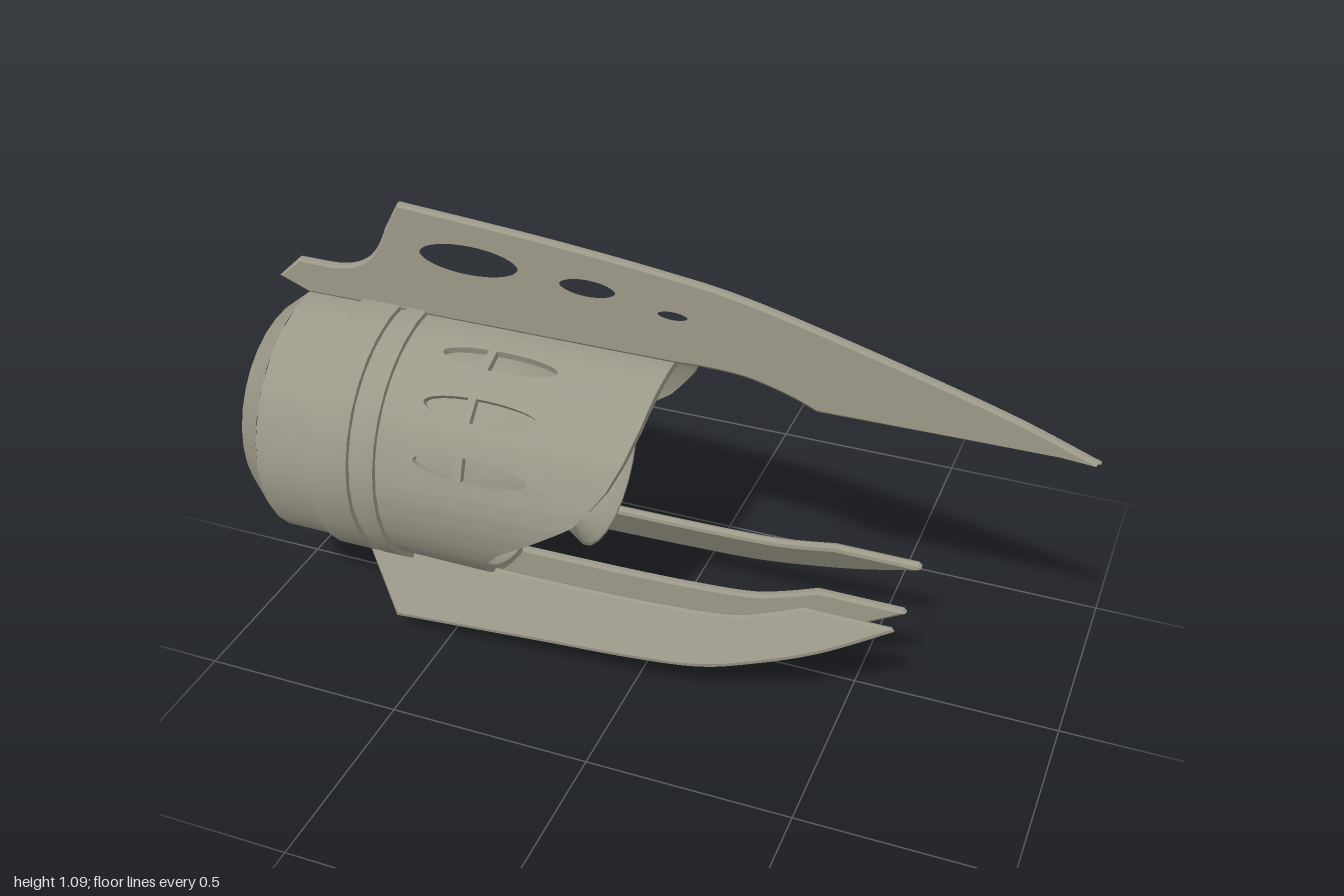
import * as THREE from 'three';
import { mergeGeometries, toCreasedNormals } from 'three/addons/utils/BufferGeometryUtils.js';

const AXIS_Y = 0.49;
const DEG = Math.PI / 180;
const metal = new THREE.MeshStandardMaterial({ color: 0x9c9888 });
metal.name = 'warm grey metal';

const vecs = (pts) => pts.map(([x, y]) => new THREE.Vector2(x, y));

function part(name, geometry) {
  const mesh = new THREE.Mesh(geometry, metal);
  mesh.name = name;
  return mesh;
}

// Turned part lying along x; the profile is [x, radius]
function turned(name, profile, segments = 32) {
  const geo = new THREE.LatheGeometry(vecs(profile.map(([x, r]) => [r, x])), segments);
  geo.rotateZ(-Math.PI / 2);
  const mesh = part(name, toCreasedNormals(geo, 0.6));
  mesh.position.y = AXIS_Y;
  return mesh;
}

// Flat plate with a small bevel, centred on z = 0
function plate(name, shape) {
  const geo = new THREE.ExtrudeGeometry(shape, {
    depth: 0.012, bevelEnabled: true, bevelThickness: 0.006, bevelSize: 0.007,
    bevelOffset: -0.007, bevelSegments: 1, curveSegments: 16,
  });
  geo.translate(0, 0, -0.006);
  return part(name, toCreasedNormals(geo, 0.5));
}

// Slanted S-shaped end of the casing: x for a given height
const END = [[0.17, -0.38], [0.22, -0.38], [0.27, -0.37], [0.32, -0.35], [0.38, -0.30], [0.45, -0.2],
  [0.52, -0.1], [0.57, -0.06], [0.62, -0.025], [0.68, 0.002], [0.74, 0.02], [0.82, 0.03]];
function endX(angle) {
  const y = AXIS_Y + 0.318 * Math.cos(angle);
  let i = 1;
  while (i < END.length - 1 && END[i][0] < y) i++;
  const [y0, x0] = END[i - 1], [y1, x1] = END[i];
  return THREE.MathUtils.lerp(x0, x1, THREE.MathUtils.clamp((y - y0) / (y1 - y0), 0, 1));
}

// Half of an oval window, from the middle bar to the tip
function halfWindow(bar, tip, angle) {
  const upper = [], lower = [], n = 10;
  for (let i = 0; i <= n; i++) {
    const x = bar + (tip - bar) * Math.sin((i / n) * Math.PI / 2);
    const h = 0.092 * Math.sqrt(Math.max(0, 1 - ((x + 0.36) / 0.145) ** 2));
    upper.push([x, angle + h]);
    if (i < n) lower.unshift([x, angle - h]);
  }
  return new THREE.Path(vecs([...upper, ...lower]));
}

// Casing: unrolled strips with windows, bent round the axis
function casing() {
  const half = [0, 6.5, 13.5, 28.5, 37.5, 52.5, 62.5, 77.5, 90,
    101.25, 112.5, 123.75, 135, 146.25, 157.5, 168.75, 180];
  const edges = [...half.slice(1).reverse().map((a) => -a), ...half];
  const windows = [21, 45, 70];
  const strips = [];
  for (let i = 0; i < edges.length - 1; i++) {
    const a0 = edges[i] * DEG, a1 = edges[i + 1] * DEG;
    const outline = [[-0.92, a0]];
    for (let k = 0; k <= 4; k++) {
      const a = a0 + (a1 - a0) * k / 4;
      outline.push([endX(a), a]);
    }
    outline.push([-0.92, a1]);
    const shape = new THREE.Shape(vecs(outline));
    const mid = (edges[i] + edges[i + 1]) / 2;
    if (windows.some((w) => Math.abs(w - Math.abs(mid)) < 2)) {
      shape.holes.push(halfWindow(-0.40, -0.505, mid * DEG), halfWindow(-0.38, -0.215, mid * DEG));
    }
    strips.push(new THREE.ExtrudeGeometry(shape, { depth: 0.018, bevelEnabled: false }));
  }
  const geo = mergeGeometries(strips);
  const pos = geo.attributes.position;
  for (let i = 0; i < pos.count; i++) {
    const a = pos.getY(i), r = 0.302 + pos.getZ(i);
    pos.setXYZ(i, pos.getX(i), AXIS_Y + r * Math.cos(a), -r * Math.sin(a));
  }
  return part('casing', toCreasedNormals(geo, 0.6));
}

// Tall top fin with three oval holes
function topFin() {
  const s = new THREE.Shape();
  s.moveTo(-1, 0.84);
  s.lineTo(-0.94, 0.897);
  s.lineTo(-0.86, 0.897);
  s.bezierCurveTo(-0.76, 0.897, -0.72, 0.95, -0.695, 1.02);
  s.lineTo(-0.657, 1.09);
  s.splineThru(vecs([[-0.3, 1.064], [0, 1.033], [0.2, 1.002], [0.5, 0.925], [0.8, 0.838], [1, 0.765]]));
  s.lineTo(0.37, 0.755);
  s.splineThru(vecs([[0.3, 0.783], [0.2, 0.808], [0.1, 0.813], [0.03, 0.81]]));
  s.lineTo(-0.92, 0.808);
  for (const [x, y, rx, ry] of [[-0.48, 0.978, 0.133, 0.044], [-0.182, 0.963, 0.076, 0.028], [0.025, 0.933, 0.044, 0.017]]) {
    const hole = new THREE.Path();
    hole.absellipse(x, y, rx, ry, 0, Math.PI * 2, true);
    s.holes.push(hole);
  }
  return plate('topFin', s);
}

// Curved lower prong; heights are measured from the engine axis
function lowerProng(name, degrees) {
  const s = new THREE.Shape();
  s.moveTo(-0.735, -0.315);
  s.lineTo(-0.62, -0.485);
  s.splineThru(vecs([[-0.25, -0.462], [0, -0.447], [0.17, -0.428], [0.3, -0.39], [0.45, -0.33], [0.612, -0.24]]));
  s.lineTo(0.605, -0.232);
  s.lineTo(0.395, -0.232);
  s.splineThru(vecs([[0.31, -0.265], [0.23, -0.288], [0.1, -0.3], [-0.1, -0.308], [-0.4, -0.312]]));
  const mesh = plate(name, s);
  mesh.position.y = AXIS_Y;
  mesh.rotation.x = degrees * DEG;
  return mesh;
}

export function createModel() {
  const model = new THREE.Group();
  model.name = 'engine';

  model.add(casing());

  // Chamfered intake with a recessed bowl
  model.add(turned('intake', [[-0.78, 0], [-0.79, 0.07], [-0.82, 0.125], [-0.88, 0.155], [-1, 0.165],
    [-1, 0.255], [-0.92, 0.32]]));

  // Raised bands
  for (const [name, a, b] of [['wideBand', -0.77, -0.67], ['narrowBand', -0.65, -0.6]]) {
    model.add(turned(name, [[a, 0.31], [a, 0.333], [b, 0.333], [b, 0.31]]));
  }

  // Flared exhaust nozzle with a hollow throat
  model.add(turned('nozzle', [[-0.5, 0.305], [-0.56, 0.25], [-0.45, 0.25], [-0.37, 0.238], [-0.28, 0.208],
    [-0.2, 0.176], [-0.15, 0.205], [-0.15, 0.198], [-0.19, 0.165], [-0.25, 0.15], [-0.34, 0.145],
    [-0.42, 0.12], [-0.46, 0.07], [-0.475, 0]], 24));

  model.add(topFin());
  model.add(lowerProng('middleProng', 0));
  model.add(lowerProng('leftSideProng', -30));
  model.add(lowerProng('rightSideProng', 33.5));
  return model;
}
